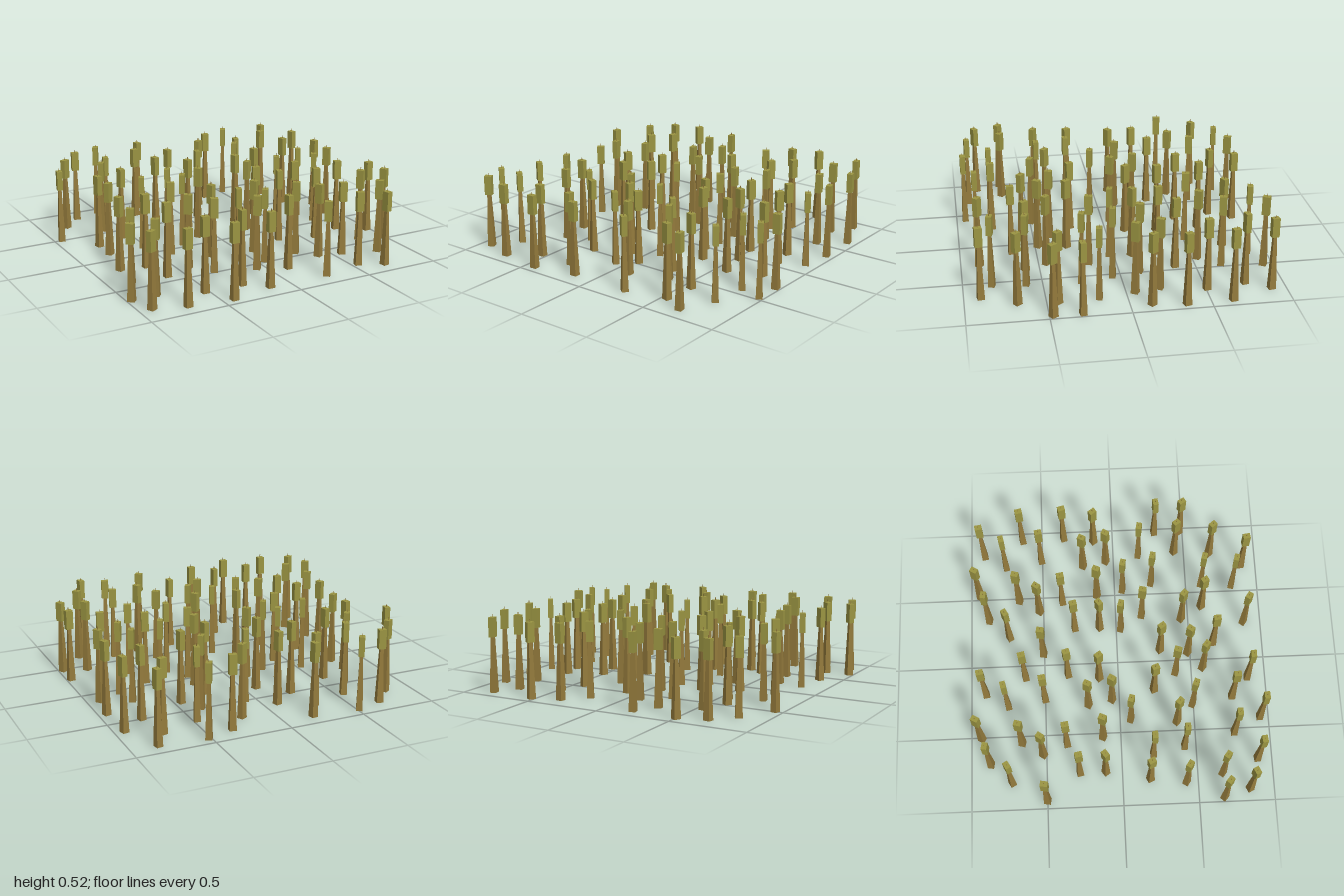
import * as THREE from 'three';

const stemMat = new THREE.MeshStandardMaterial({ color: 0x937a3c, flatShading: true });
const headMat = new THREE.MeshStandardMaterial({ color: 0x9a9442, flatShading: true });

// Four-sided stem, wide at the ground and narrow under the head
const stemGeo = new THREE.CylinderGeometry(0.011 * Math.SQRT2, 0.0225 * Math.SQRT2, 0.36, 4);
stemGeo.rotateY(Math.PI / 4);
stemGeo.scale(1, 1, 0.92);
stemGeo.translate(0, 0.18, 0);

// Blocky seed head
const headGeo = new THREE.BoxGeometry(0.048, 0.127, 0.036);
headGeo.translate(0, 0.4235, 0);

// Fine tip on top of the head
const tipGeo = new THREE.BoxGeometry(0.003, 0.02, 0.003);
tipGeo.translate(0, 0.495, 0);

// Stalks of one patch: x, z, turn in degrees, lift from the ground
const STALKS = [
  [-0.354, -0.253, 30], [-0.224, -0.393, -10], [-0.044, -0.453, 60],
  [0.266, -0.423, -80], [0.176, -0.273, 12], [-0.084, -0.183, 75],
  [0.376, -0.153, -78], [-0.484, -0.023, 80], [-0.174, -0.043, 55, 0.012],
  [0.216, -0.023, -80], [-0.104, 0.117, -80], [0.386, 0.137, -75],
  [-0.304, 0.197, -78], [0.166, 0.267, 62], [-0.064, 0.357, -115],
  [0.356, 0.347, -55], [-0.304, 0.367, 35], [0.196, 0.427, 58],
];

// The same patch repeated: x, z, turn in degrees
const PATCHES = [
  [-0.466, -0.477, 0],
  [0.562, -0.482, 0],
  [-0.517, 0.544, -99.6],
  [0.501, 0.458, 63.2],
];

function makeStalk([x, z, turn, lift = 0]) {
  const stalk = new THREE.Group();
  stalk.name = 'stalk';
  for (const [name, geo, mat] of [
    ['stem', stemGeo, stemMat],
    ['head', headGeo, headMat],
    ['tip', tipGeo, stemMat],
  ]) {
    const mesh = new THREE.Mesh(geo, mat);
    mesh.name = name;
    stalk.add(mesh);
  }
  stalk.position.set(x, lift, z);
  stalk.rotation.y = THREE.MathUtils.degToRad(turn);
  return stalk;
}

export function createModel() {
  const model = new THREE.Group();
  model.name = 'reedField';
  for (const [x, z, turn] of PATCHES) {
    const patch = new THREE.Group();
    patch.name = 'reedPatch';
    STALKS.forEach((s) => patch.add(makeStalk(s)));
    patch.position.set(x, 0, z);
    patch.rotation.y = THREE.MathUtils.degToRad(turn);
    model.add(patch);
  }
  return model;
}
